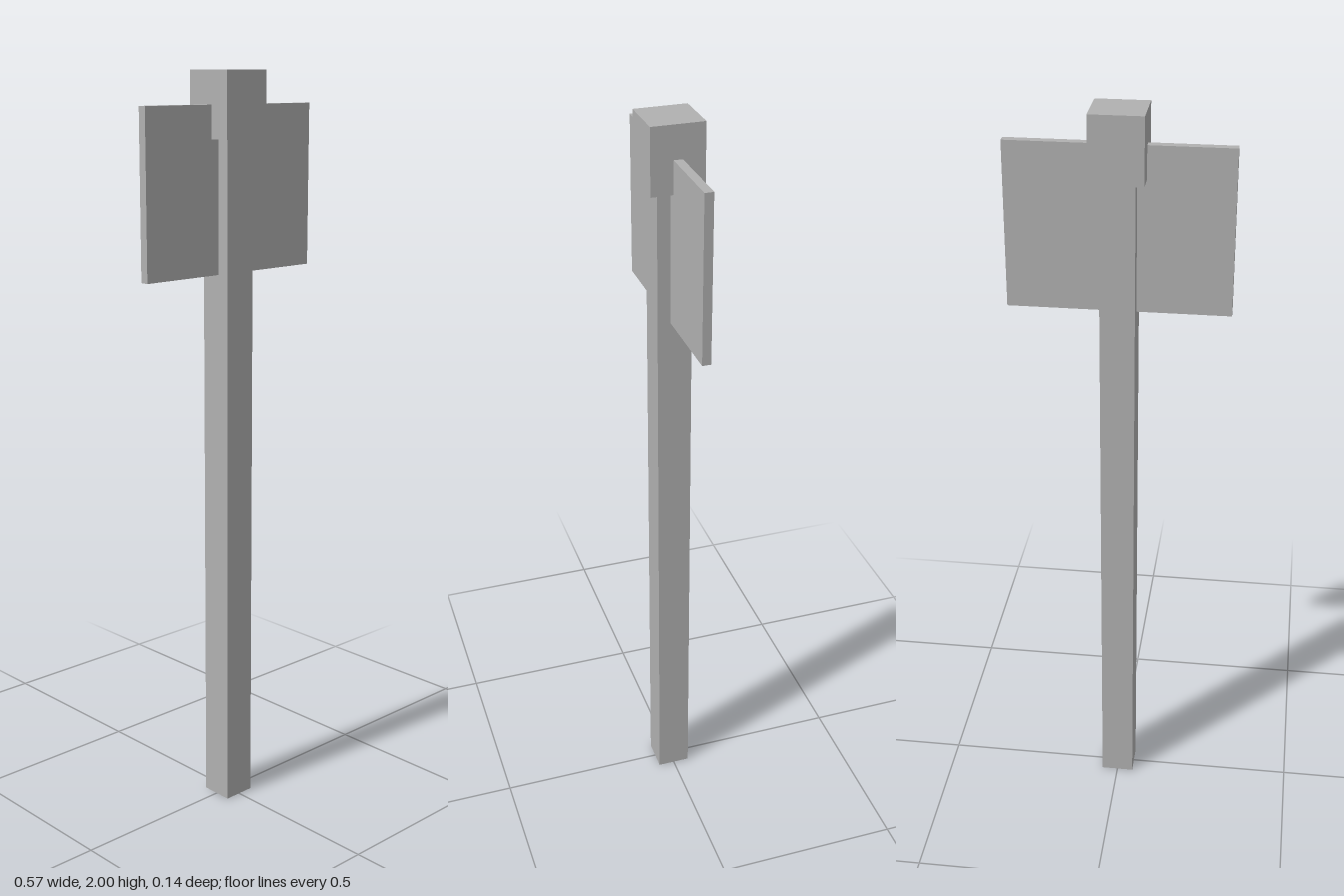
import * as THREE from 'three';

export function createModel() {
  const model = new THREE.Group();
  model.name = 'battleAxe';

  const grey = new THREE.MeshStandardMaterial({ color: 0xb0b0b0 });
  grey.name = 'grey';

  // Box centred on the vertical axis, spanning y0 to y1
  function addBox(name, width, depth, y0, y1, x = 0) {
    const mesh = new THREE.Mesh(new THREE.BoxGeometry(width, y1 - y0, depth), grey);
    mesh.name = name;
    mesh.position.set(x, (y0 + y1) / 2, 0);
    model.add(mesh);
  }

  // Square shaft and the block that caps it
  addBox('shaft', 0.09, 0.09, 0, 1.83);
  addBox('cap', 0.137, 0.137, 1.83, 2);

  // Thin blade plate passing through the shaft
  addBox('blade', 0.572, 0.023, 1.486, 1.915);

  return model;
}
